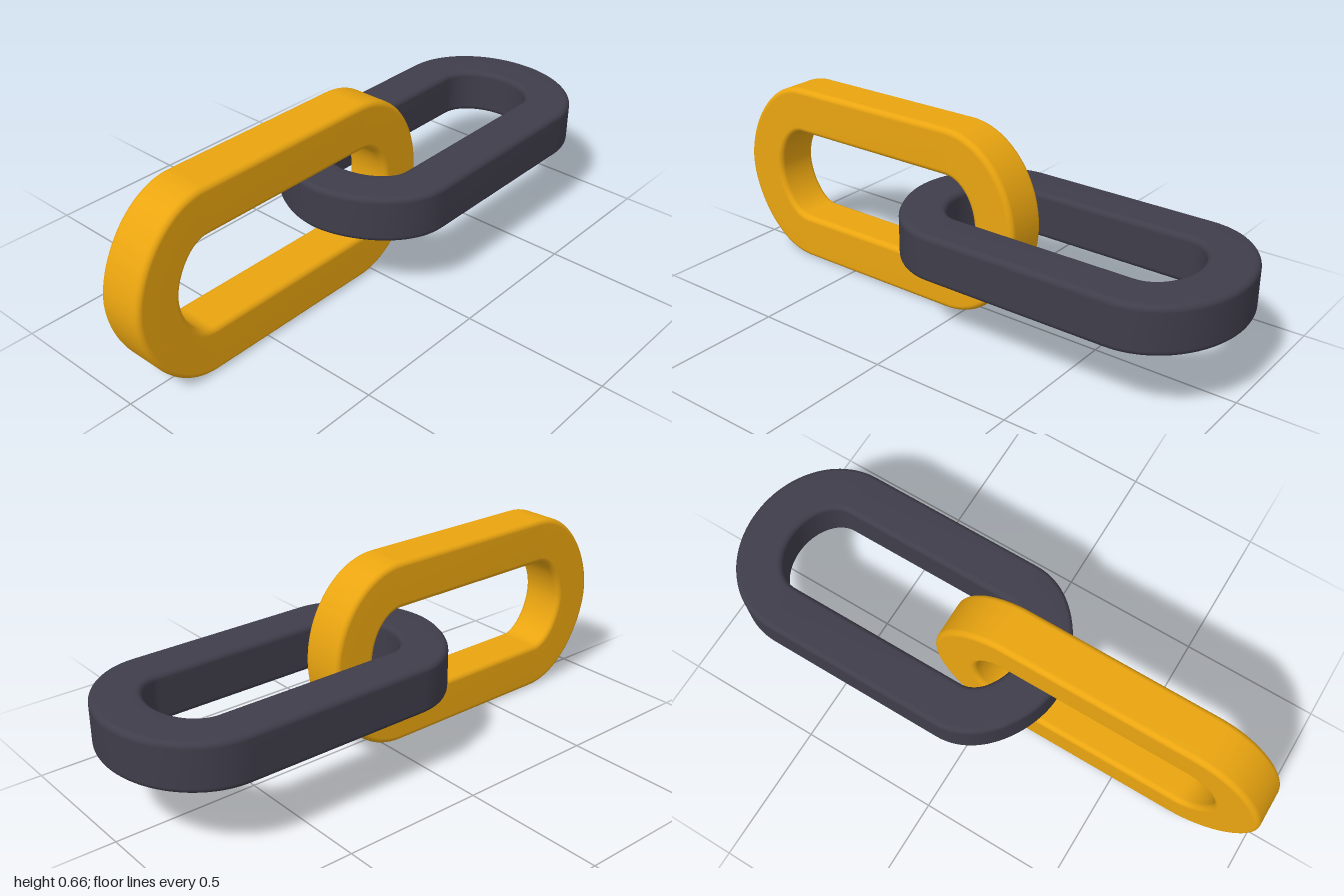
import * as THREE from 'three';

const STRAIGHT = 0.33;   // half length of the straight sides
const THICK = 0.165;     // bar width and height
const BEVEL = 0.02;      // rounding of the bar edges

// Closed oval in (across, along): straight sides with a slightly pointed end at +along
function oval(a, tip) {
  const b = tip - STRAIGHT, s = STRAIGHT;
  const p = new THREE.Shape();
  const f = { t: 0.41 * a, s: s + 0.6 * b }, r = { t: 0.55 * a, s: s + 0.55 * b };
  p.moveTo(a, -s);
  p.lineTo(a, s);
  p.bezierCurveTo(a, f.s, f.t, tip, 0, tip);
  p.bezierCurveTo(-f.t, tip, -a, f.s, -a, s);
  p.lineTo(-a, -s);
  p.bezierCurveTo(-a, -r.s, -r.t, -tip, 0, -tip);
  p.bezierCurveTo(r.t, -tip, a, -r.s, a, -s);
  return p.getPoints(24).slice(0, -1);
}

// Rounded square section: u runs from inner to outer oval, h is height
function section() {
  const pts = [], c = THICK / 2 - BEVEL, steps = 5;
  [[1, 1], [-1, 1], [-1, -1], [1, -1]].forEach(([sx, sy], k) => {
    for (let i = 0; i <= steps; i++) {
      const t = (k + i / steps) * Math.PI / 2;
      const x = sx * c + BEVEL * Math.cos(t), h = sy * c + BEVEL * Math.sin(t);
      pts.push({ u: x / THICK + 0.5, h });
    }
  });
  return pts;
}

// Sweep the section between the inner and outer ovals
function linkGeometry() {
  const outer = oval(0.33, 0.61), inner = oval(0.165, 0.45), sec = section();
  const n = outer.length, m = sec.length, pos = [], idx = [];
  for (let i = 0; i < n; i++) {
    for (const { u, h } of sec) {
      const p = inner[i].clone().lerp(outer[i], u);
      pos.push(p.x, h, p.y);
    }
    for (let j = 0; j < m; j++) {
      const i2 = (i + 1) % n, j2 = (j + 1) % m;
      const a = i * m + j, b = i * m + j2, c = i2 * m + j2, d = i2 * m + j;
      idx.push(a, b, d, b, c, d);
    }
  }
  const g = new THREE.BufferGeometry();
  g.setAttribute('position', new THREE.Float32BufferAttribute(pos, 3));
  g.setIndex(idx);
  g.computeVertexNormals();
  return g;
}

export function createModel() {
  const group = new THREE.Group();
  group.name = 'chainLinks';
  const geometry = linkGeometry();
  const addLink = (name, color, y, z) => {
    const mesh = new THREE.Mesh(geometry, new THREE.MeshStandardMaterial({ color }));
    mesh.name = name;
    mesh.position.set(0, y, z);
    group.add(mesh);
    return mesh;
  };
  // Upright link at the front, flat link at the back
  addLink('uprightLink', 0xeaa510, 0.33, 0.39).rotation.z = Math.PI / 2;
  addLink('flatLink', 0x3f3d4a, 0.325, -0.39);
  return group;
}
